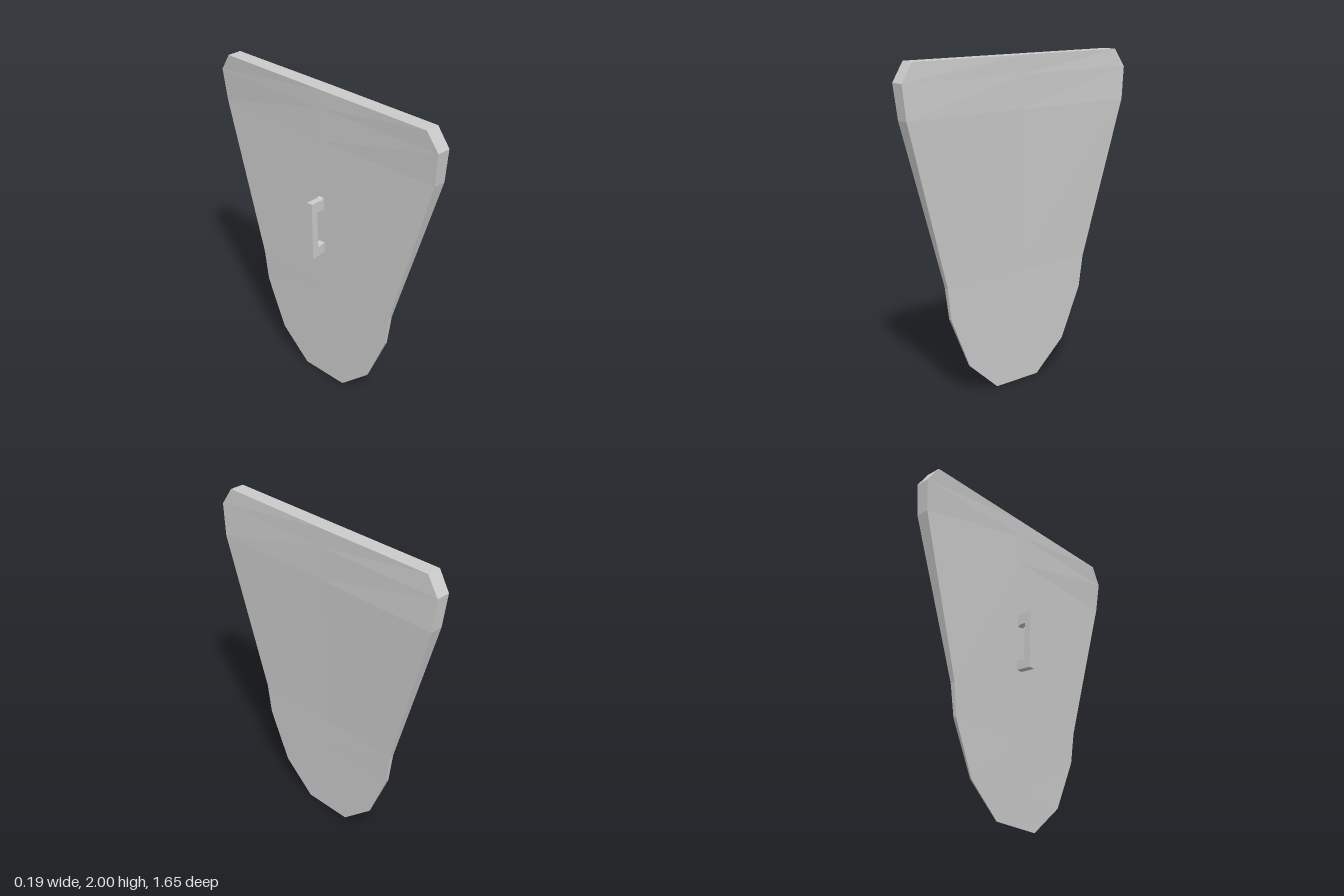
import * as THREE from 'three';

const grey = () => new THREE.MeshStandardMaterial({ color: 0xcccccc, flatShading: true });

// Tapered, slightly bowed panel lofted from horizontal six-point rings
function makePanel() {
  // y, half width, inner x (middle, edge), outer x (middle, edge)
  const rows = [
    [0, 0.16, 0.032, 0.032, 0.035, 0.035],
    [0.19, 0.37, 0.027, 0.029, 0.037, 0.038],
    [0.51, 0.505, 0.02, 0.025, 0.042, 0.045],
    [0.71, 0.53, 0.015, 0.02, 0.046, 0.05],
    [1.69, 0.805, -0.007, 0.009, 0.081, 0.09],
    [1.89, 0.825, -0.012, -0.005, 0.081, 0.083],
    [2, 0.75, -0.015, -0.015, 0.08, 0.076],
  ];
  const positions = [], index = [];
  for (const [y, w, inMid, inEdge, outMid, outEdge] of rows) {
    positions.push(outEdge, y, w, outMid, y, 0, outEdge, y, -w);
    positions.push(inEdge, y, -w, inMid, y, 0, inEdge, y, w);
  }
  const quad = (a, b, c, d) => index.push(a, b, c, a, c, d);
  for (let i = 0; i < rows.length - 1; i++) {
    for (let j = 0; j < 6; j++) {
      const a = i * 6 + j, b = i * 6 + (j + 1) % 6;
      quad(a, b, b + 6, a + 6);
    }
  }
  // End caps
  const t = (rows.length - 1) * 6;
  quad(t, t + 1, t + 4, t + 5);
  quad(t + 1, t + 2, t + 3, t + 4);
  quad(5, 4, 1, 0);
  quad(4, 3, 2, 1);

  const geometry = new THREE.BufferGeometry();
  geometry.setAttribute('position', new THREE.Float32BufferAttribute(positions, 3));
  geometry.setIndex(index);
  const flat = geometry.toNonIndexed();
  flat.computeVertexNormals();
  const mesh = new THREE.Mesh(flat, grey());
  mesh.name = 'panel';
  return mesh;
}

// Bracket-shaped grip whose two feet meet the inner face
function makeHandle() {
  const outline = [
    [0.005, 1.327], [-0.02, 1.318], [-0.098, 1.32], [-0.09, 0.945], [0.014, 0.955],
    [0.014, 1.02], [-0.045, 1.01], [-0.054, 1.25], [-0.015, 1.25], [0.005, 1.243],
  ];
  const shape = new THREE.Shape(outline.map(([x, y]) => new THREE.Vector2(x, y)));
  const geometry = new THREE.ExtrudeGeometry(shape, { depth: 0.04, bevelEnabled: false });
  geometry.translate(0, 0, -0.02);
  const mesh = new THREE.Mesh(geometry, grey());
  mesh.name = 'handle';
  return mesh;
}

export function createModel() {
  const model = new THREE.Group();
  model.name = 'shield';
  model.add(makePanel(), makeHandle());
  return model;
}
